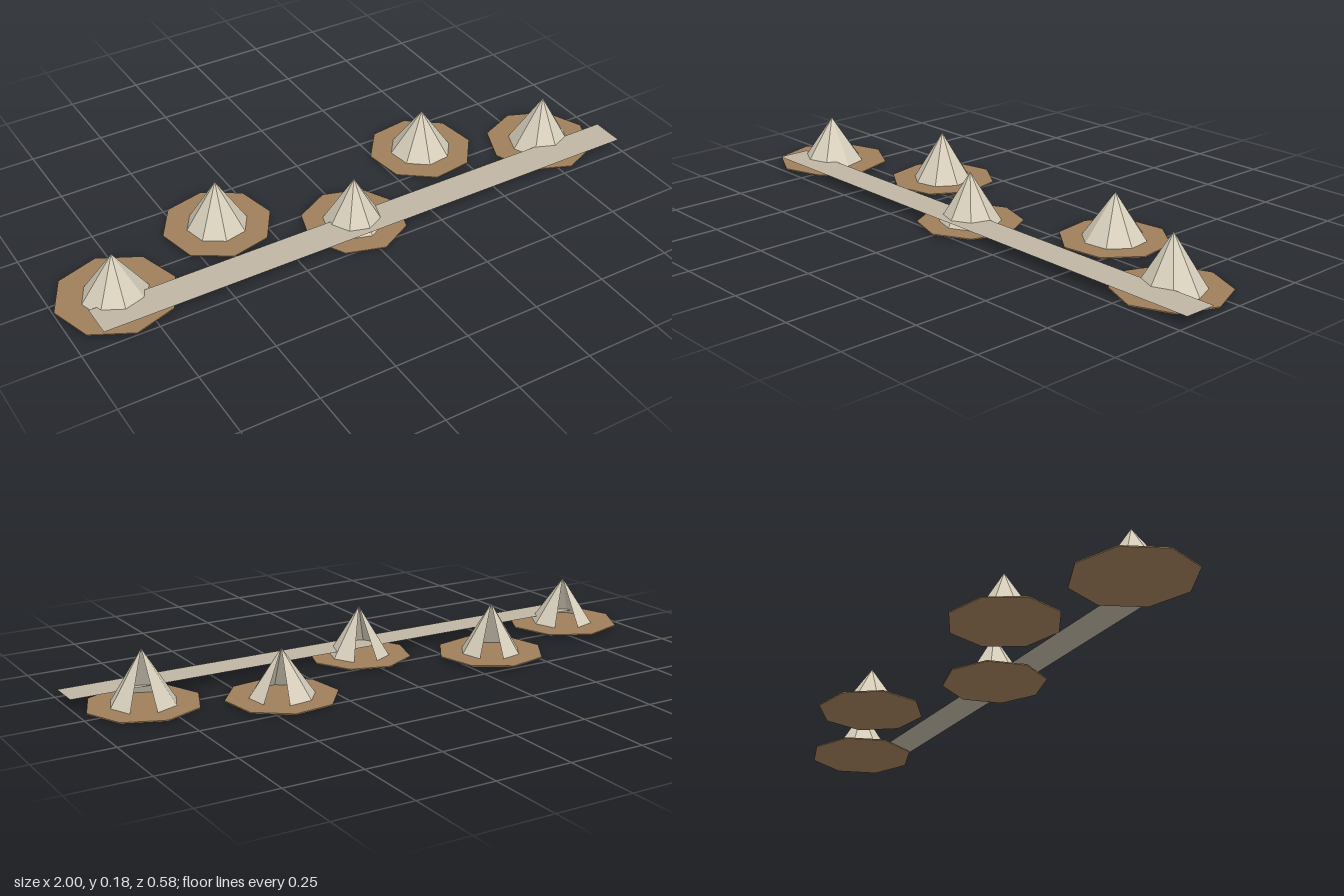
import * as THREE from 'three';

const canvas = new THREE.MeshStandardMaterial({ color: 0xd9d1bd, flatShading: true, side: THREE.DoubleSide });
const earth = new THREE.MeshStandardMaterial({ color: 0x9f7f5c, flatShading: true });
const path = new THREE.MeshStandardMaterial({ color: 0xbfb5a3, flatShading: true, side: THREE.DoubleSide });

const SIDES = 8;
const DISC_HEIGHT = 0.004;

// One tent: an eight-sided cone with one panel left open, on an eight-sided clearing
function makeCamp({ x, z, y, top, discR, tentR, turn }) {
  const camp = new THREE.Group();
  camp.name = 'camp';
  camp.position.set(x, y, z);
  const start = Math.PI - THREE.MathUtils.degToRad(turn);

  const clearing = new THREE.Mesh(
    new THREE.CylinderGeometry(discR, discR, DISC_HEIGHT, SIDES, 1, false, start), earth);
  clearing.name = 'clearing';
  clearing.position.y = DISC_HEIGHT / 2;

  const height = top - y - DISC_HEIGHT;
  const tent = new THREE.Mesh(
    new THREE.ConeGeometry(tentR, height, SIDES - 1, 1, true, start, Math.PI * 2 * (SIDES - 1) / SIDES), canvas);
  tent.name = 'tent';
  tent.position.y = DISC_HEIGHT + height / 2;

  camp.add(clearing, tent);
  return camp;
}

export function createModel() {
  const model = new THREE.Group();
  model.name = 'tentVillage';

  // Row of tents, each clearing slightly higher towards -x
  const camps = [
    { x: -0.81, z: 0.068, y: 0.0135, top: 0.172, discR: 0.192, tentR: 0.106, turn: 5 },
    { x: -0.386, z: -0.09, y: 0.0105, top: 0.178, discR: 0.179, tentR: 0.1, turn: 10 },
    { x: -0.002, z: 0.118, y: 0.0075, top: 0.175, discR: 0.171, tentR: 0.1, turn: -5 },
    { x: 0.41, z: -0.115, y: 0.004, top: 0.159, discR: 0.178, tentR: 0.104, turn: 15 },
    { x: 0.793, z: 0.051, y: 0, top: 0.176, discR: 0.181, tentR: 0.106, turn: 0 },
  ];
  camps.forEach((c) => model.add(makeCamp(c)));

  // Straight flat walkway in front of the tents
  const walkway = new THREE.Mesh(new THREE.PlaneGeometry(1.915, 0.112).rotateX(-Math.PI / 2), path);
  walkway.name = 'walkway';
  walkway.position.set(0.0425, 0.033, 0.167);
  model.add(walkway);

  return model;
}
